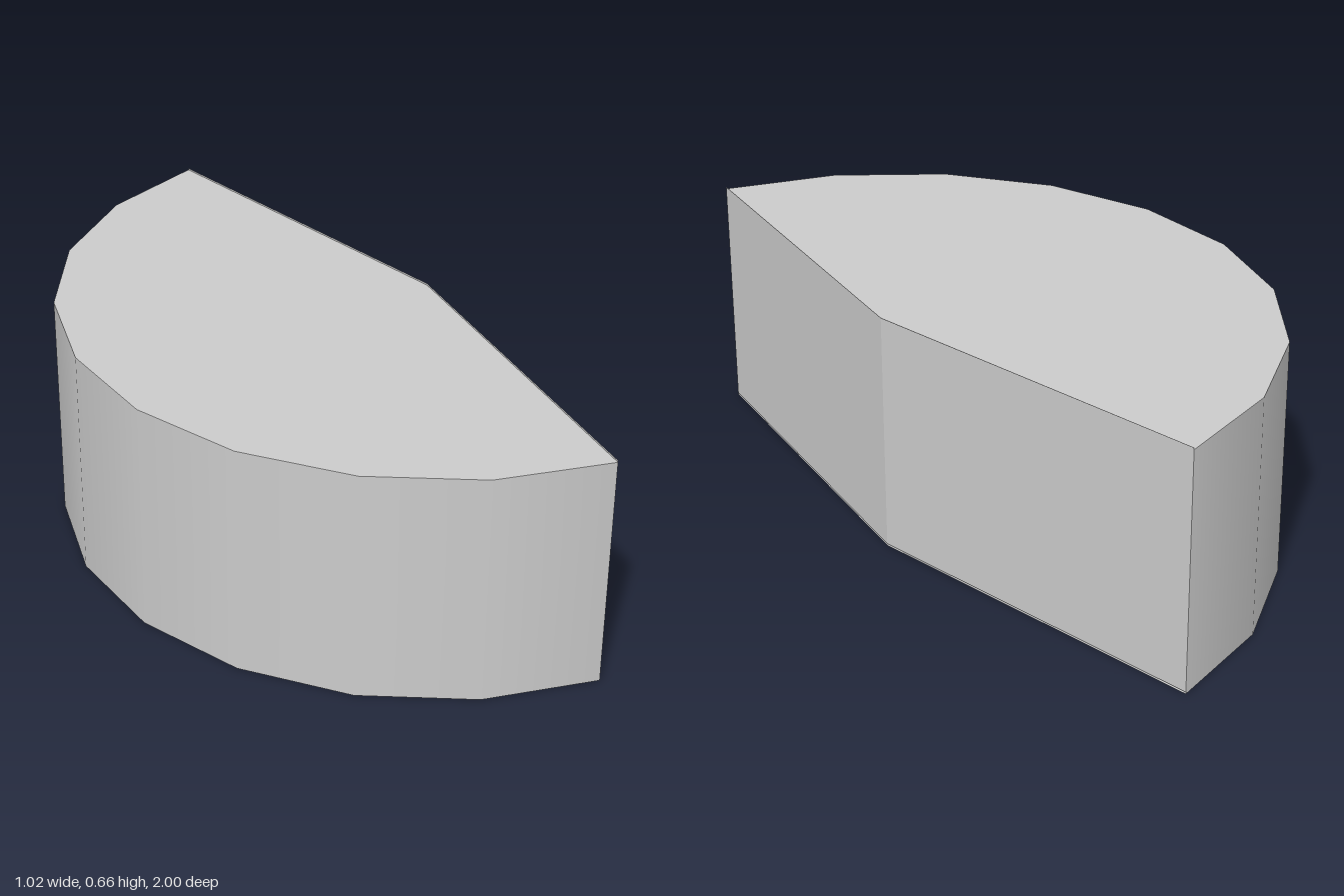
import * as THREE from 'three';

const RADIUS = 1.024;
const HEIGHT = 0.653;
const START = Math.PI;          // angle of the back cut, measured from +z towards +x
const SWEEP = Math.PI * 0.9;    // nine steps of 18 degrees
const WALL_LIFT = 0.005;        // the cut walls sit slightly above the slab

export function createModel() {
  const model = new THREE.Group();
  model.name = 'wedge';
  const material = new THREE.MeshStandardMaterial({ color: 0xcccccc, side: THREE.DoubleSide });

  // Curved rim with its top and bottom faces
  const slab = new THREE.Mesh(
    new THREE.CylinderGeometry(RADIUS, RADIUS, HEIGHT, 9, 1, false, START, SWEEP), material);
  slab.name = 'curvedSlab';
  slab.position.y = HEIGHT / 2;
  model.add(slab);

  // Flat wall from the sector's centre to the rim, turned to face outwards
  const addWall = (name, angle, turn) => {
    const wall = new THREE.Mesh(new THREE.PlaneGeometry(RADIUS, HEIGHT), material);
    wall.name = name;
    wall.position.set(
      Math.sin(angle) * RADIUS / 2, HEIGHT / 2 + WALL_LIFT, Math.cos(angle) * RADIUS / 2);
    wall.rotation.y = angle + turn;
    model.add(wall);
  };
  addWall('backCutWall', START, -Math.PI / 2);
  addWall('frontCutWall', START + SWEEP, Math.PI / 2);

  // Centre the sector's bounds on x and z
  model.position.set(RADIUS / 2, 0, 0.025);
  return model;
}
